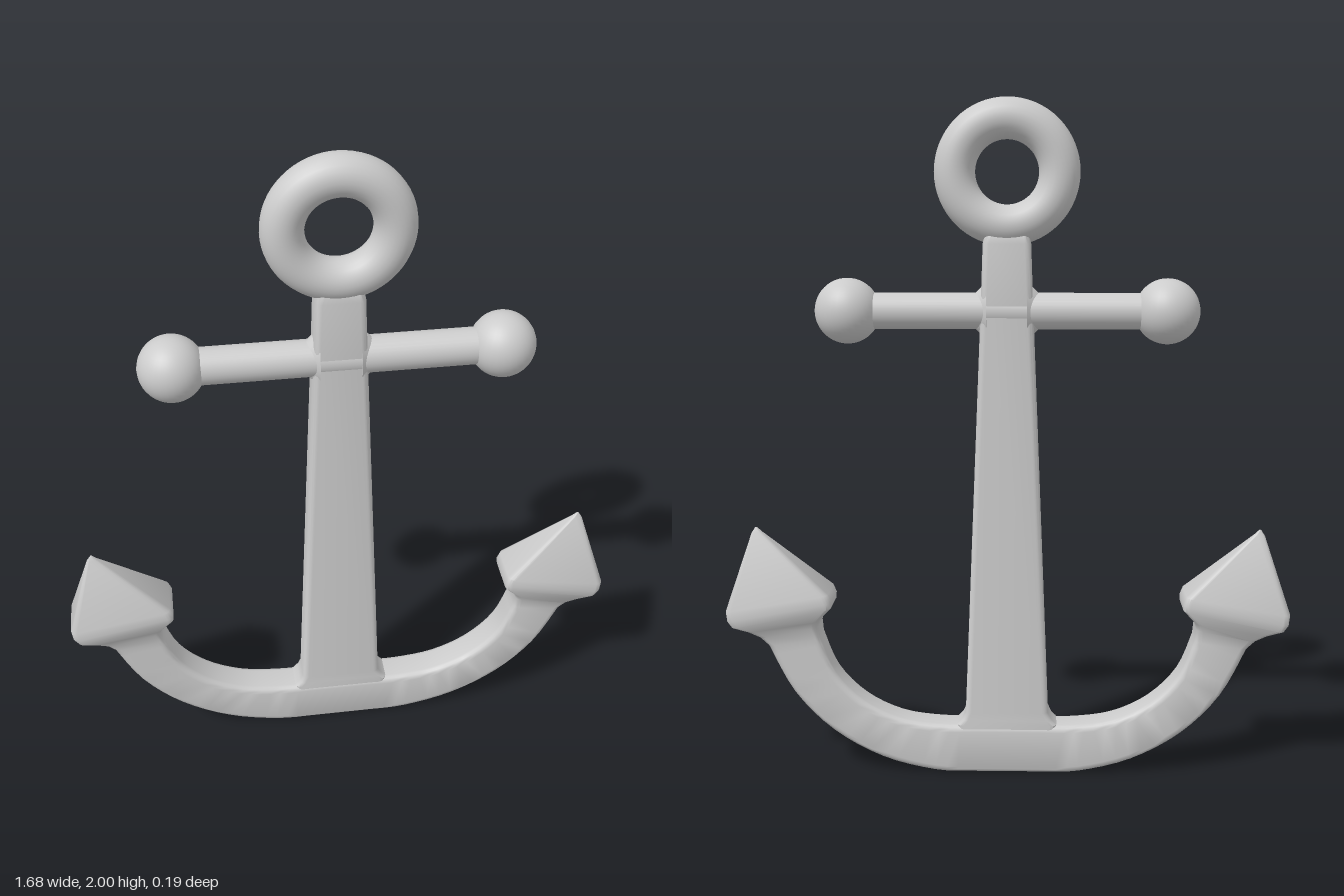
import * as THREE from 'three';
import { toCreasedNormals } from 'three/addons/utils/BufferGeometryUtils.js';

const material = new THREE.MeshStandardMaterial({ color: 0xcccccc });

// Rounded-rectangle loft; each section is [ax, ay, bx, by, halfDepth],
// an edge-to-edge span in the xy plane thickened along z.
function loft(sections, radius, crease) {
  const pos = [], idx = [], steps = 4, n = 4 * (steps + 1);
  for (const [ax, ay, bx, by, d] of sections) {
    const w = Math.hypot(bx - ax, by - ay) / 2;
    const ux = (bx - ax) / (2 * w), uy = (by - ay) / (2 * w);
    const r = Math.min(radius, w * 0.9, d * 0.9);
    for (let q = 0; q < 4; q++) {
      const su = q === 0 || q === 3 ? 1 : -1, sz = q < 2 ? 1 : -1;
      for (let k = 0; k <= steps; k++) {
        const t = (q + k / steps) * Math.PI / 2;
        const u = su * (w - r) + r * Math.cos(t);
        pos.push((ax + bx) / 2 + ux * u, (ay + by) / 2 + uy * u, sz * (d - r) + r * Math.sin(t));
      }
    }
  }
  for (let i = 0; i < sections.length - 1; i++) {
    for (let j = 0; j < n; j++) {
      const a = i * n + j, b = i * n + (j + 1) % n;
      idx.push(a, a + n, b + n, a, b + n, b);
    }
  }
  const last = (sections.length - 1) * n;
  for (let j = 1; j < n - 1; j++) {
    idx.push(0, j, j + 1, last, last + j + 1, last + j);
  }
  const g = new THREE.BufferGeometry();
  g.setAttribute('position', new THREE.Float32BufferAttribute(pos, 3));
  g.setIndex(idx);
  return toCreasedNormals(g, crease);
}

export function createModel() {
  const group = new THREE.Group();
  const add = (name, geometry, x = 0, y = 0, z = 0) => {
    const mesh = new THREE.Mesh(geometry, material);
    mesh.name = name;
    mesh.position.set(x, y, z);
    group.add(mesh);
    return mesh;
  };

  // Ring
  add('ring', new THREE.TorusGeometry(0.15, 0.059, 24, 64), 0, 1.791);

  // Tapered shank with a small flare at the foot
  const shank = [
    [0.12, 0.04, 0.052], [0.15, 0.15, 0.052], [0.135, 0.165, 0.052], [0.124, 0.19, 0.052],
    [0.075, 1.42, 0.05], [0.069, 1.59, 0.05], [0.064, 1.615, 0.046], [0.05, 1.628, 0.036],
  ].map(([w, y, d]) => [-w, y, w, y, d]);
  add('shank', loft(shank, 0.018, 0.6));

  // Crossbar with ball ends and flared collars
  const barY = 1.396;
  add('crossbar', new THREE.CylinderGeometry(0.053, 0.053, 0.92, 32), 0, barY).rotation.z = Math.PI / 2;
  for (const s of [-1, 1]) {
    add('crossbarBall', new THREE.SphereGeometry(0.095, 32, 24), s * 0.463, barY);
    const collar = add('crossbarCollar', new THREE.CylinderGeometry(0.05, 0.085, 0.035, 32), s * 0.076, barY);
    collar.rotation.z = -s * Math.PI / 2;
    collar.scale.z = 0.7;
  }

  // Curved arm: inner and outer edges sampled together
  const curve = (pts) => new THREE.SplineCurve(pts.map((p) => new THREE.Vector2(...p)));
  const inner = curve([[0.1, 0.15], [0.2, 0.15], [0.32, 0.168], [0.43, 0.222], [0.515, 0.31], [0.56, 0.42]]);
  const outer = curve([[0.1, 0], [0.217, 0.004], [0.376, 0.045], [0.525, 0.13], [0.64, 0.25], [0.715, 0.395]]);
  const half = [];
  for (let i = 0; i <= 20; i++) {
    const a = inner.getPoint(i / 20), b = outer.getPoint(i / 20);
    half.push([a.x, a.y, b.x, b.y, 0.054]);
  }

  // Fluke: swells from the arm, then narrows to a point
  half.push(
    [0.564, 0.455, 0.74, 0.42, 0.058],
    [0.56, 0.476, 0.775, 0.44, 0.068],
    [0.523, 0.517, 0.82, 0.455, 0.077],
    [0.522, 0.535, 0.834, 0.475, 0.078],
    [0.531, 0.558, 0.838, 0.505, 0.076],
    [0.735, 0.737, 0.765, 0.732, 0.008],
    [0.748, 0.75, 0.754, 0.749, 0.003],
  );
  const mirrored = half.map(([ax, ay, bx, by, d]) => [-ax, ay, -bx, by, d]).reverse();
  add('armsAndFlukes', loft([...mirrored, ...half], 0.02, 0.6));

  return group;
}
